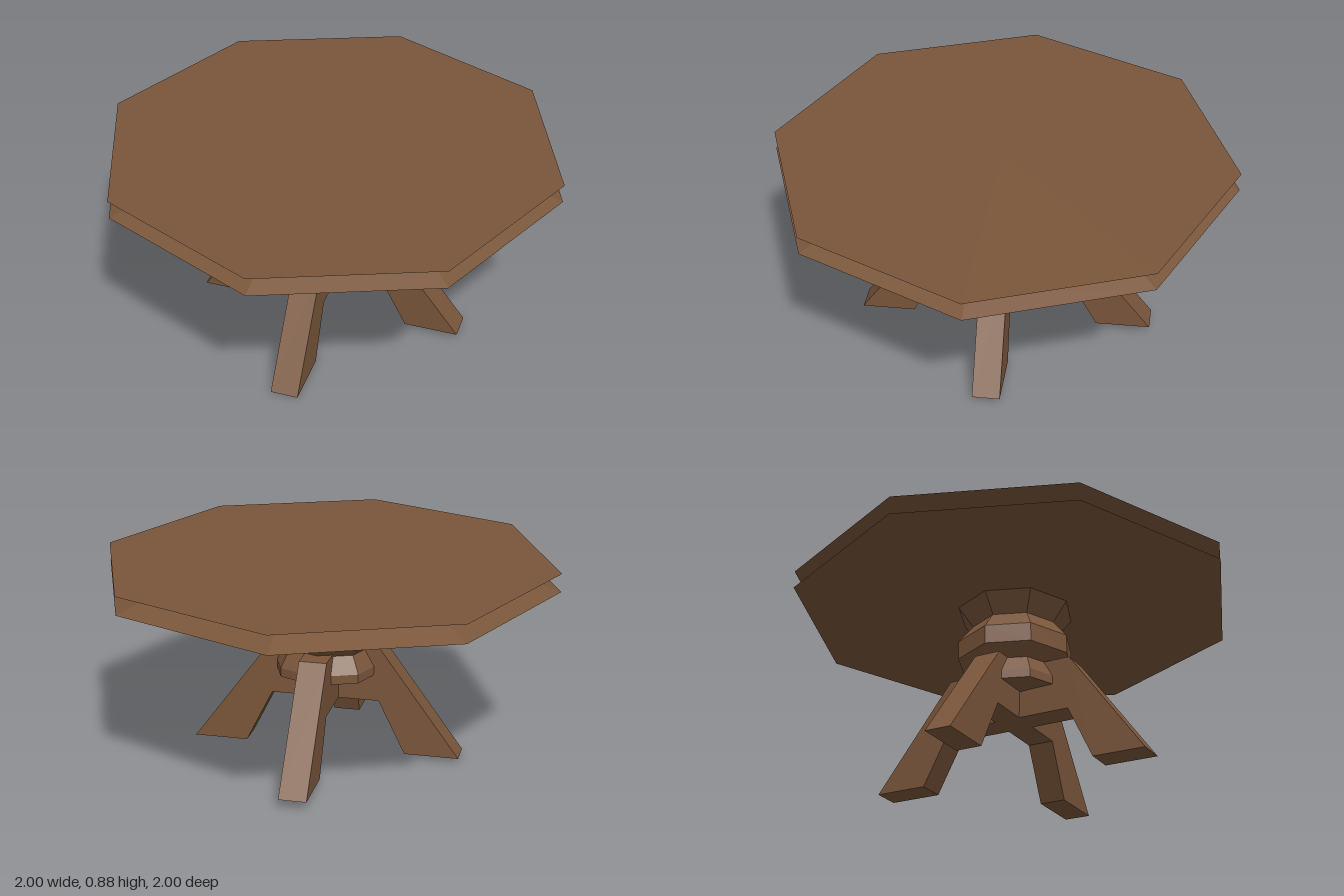
import * as THREE from 'three';

const wood = new THREE.MeshStandardMaterial({ color: 0x7a563b, flatShading: true });
wood.name = 'brown wood';

// Eight-sided turned solid from [radius, height] pairs, bottom to top
function turned(name, profile) {
  const points = profile.map(([r, y]) => new THREE.Vector2(r, y));
  const mesh = new THREE.Mesh(new THREE.LatheGeometry(points, 8), wood);
  mesh.name = name;
  return mesh;
}

// A pair of opposite splayed legs joined by a beam; extra lengthens the beam
function legPair(name, extra) {
  const half = [[0.24, 0.26], [0.36, 0.02], [0.6, 0.02], [0.243, 0.5]]
    .map(([x, y]) => [x + extra, y]);
  const mirrored = half.map(([x, y]) => [-x, y]).reverse();
  const shape = new THREE.Shape(
    [...half, ...mirrored].map(([x, y]) => new THREE.Vector2(x, y - 0.5)));
  const width = 0.12;
  const geometry = new THREE.ExtrudeGeometry(shape, { depth: width, bevelEnabled: false });
  geometry.translate(0, 0, -width / 2);
  const mesh = new THREE.Mesh(geometry, wood);
  mesh.name = name;
  return mesh;
}

export function createModel() {
  const table = new THREE.Group();
  table.name = 'table';

  // Octagonal top with a V-shaped groove around its rim
  table.add(turned('tabletop', [[0, 0.8], [1, 0.8], [0.88, 0.84], [1, 0.88], [0, 0.88]]));

  // Turned pedestal
  table.add(turned('pedestal', [
    [0, 0.38], [0.243, 0.38], [0.243, 0.42], [0.2, 0.495], [0.26, 0.545],
    [0.26, 0.63], [0.195, 0.712], [0.262, 0.8],
  ]));

  // Crossed legs, slightly tilted towards the front
  const legs = new THREE.Group();
  legs.name = 'legs';
  legs.position.y = 0.5;
  legs.rotation.set(0.03, 0.008, 0);
  const sideLegs = legPair('sideLegs', 0);
  const frontBackLegs = legPair('frontAndBackLegs', 0.057);
  frontBackLegs.rotation.y = Math.PI / 2;
  legs.add(sideLegs, frontBackLegs);
  table.add(legs);

  return table;
}
